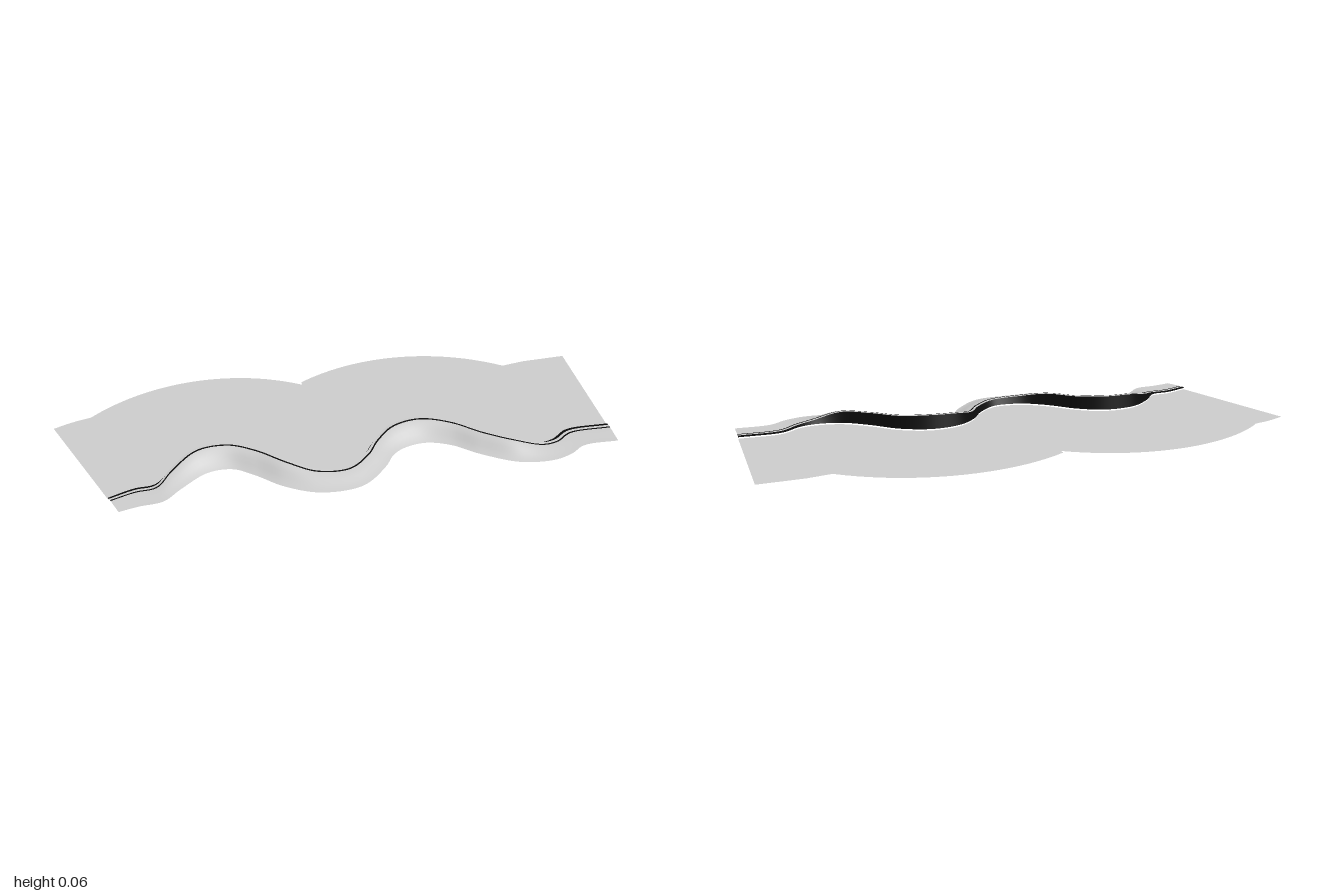
import * as THREE from 'three';

const FLOOR = 0.007; // height of the bank's lower edge above the plate
const STEPS = 200;

// stations along the bank: crest x, crest z, crest height, toe x, toe z
const stations = [
  [-1, -0.134, 0.01, -1, -0.043], [-0.9, -0.128, 0.01, -0.93, -0.03],
  [-0.826, -0.107, 0.012, -0.842, -0.005], [-0.746, -0.144, 0.03, -0.757, -0.032],
  [-0.634, -0.168, 0.056, -0.634, -0.059], [-0.516, -0.128, 0.06, -0.548, -0.027],
  [-0.436, -0.043, 0.056, -0.495, 0.053], [-0.372, 0.08, 0.052, -0.44, 0.166],
  [-0.302, 0.166, 0.036, -0.345, 0.273], [-0.2, 0.214, 0.03, -0.2, 0.326],
  [-0.1, 0.187, 0.03, -0.067, 0.283], [-0.024, 0.139, 0.034, 0.003, 0.24],
  [0.067, 0.115, 0.052, 0.067, 0.23], [0.18, 0.144, 0.06, 0.147, 0.251],
  [0.275, 0.23, 0.056, 0.217, 0.316], [0.34, 0.348, 0.053, 0.275, 0.422],
  [0.41, 0.444, 0.048, 0.37, 0.545], [0.5, 0.497, 0.02, 0.484, 0.607],
  [0.564, 0.508, 0.012, 0.564, 0.615], [0.65, 0.492, 0.01, 0.64, 0.604],
  [0.808, 0.554, 0.01, 0.767, 0.655],
];
const crest = new THREE.CatmullRomCurve3(stations.map(([x, z, h]) => new THREE.Vector3(x, h, z)));
const toe = new THREE.CatmullRomCurve3(stations.map((s) => new THREE.Vector3(s[3], FLOOR, s[4])));

// Sweep a section of [share of the way from crest to toe, share of the height]
function sweep(section) {
  const pos = [], index = [], n = section.length;
  for (let i = 0; i <= STEPS; i++) {
    const a = crest.getPoint(i / STEPS), b = toe.getPoint(i / STEPS);
    for (const [u, v] of section) {
      const p = a.clone().lerp(b, u);
      pos.push(p.x, FLOOR + (a.y - FLOOR) * v, p.z);
    }
  }
  for (let i = 0; i < STEPS; i++) {
    for (let j = 0; j < n - 1; j++) {
      const k = i * n + j;
      index.push(k, k + 1, k + n, k + 1, k + n + 1, k + n);
    }
  }
  const g = new THREE.BufferGeometry();
  g.setAttribute('position', new THREE.Float32BufferAttribute(pos, 3));
  g.setIndex(index);
  g.computeVertexNormals();
  return g;
}

// Flat plate: scalloped back edge, wavy front edge following the crest
function plateGeometry() {
  const pts = [[-1, -0.647], [-0.945, -0.647], [-0.9, -0.643]];
  const arc = (cx, cz, r, x0, x1) => {
    for (let i = 0; i <= 32; i++) {
      const x = x0 + ((x1 - x0) * i) / 32;
      pts.push([x, cz - Math.sqrt(r * r - (x - cx) ** 2)]);
    }
  };
  arc(-0.63, 0.055, 0.723, -0.85, -0.035);
  arc(0.07, 0.4, 0.78, -0.03, 0.74);
  pts.push([0.83, 0.022], [1, 0.087]);
  for (let i = STEPS; i >= 0; i--) {
    const p = crest.getPoint(i / STEPS);
    pts.push([p.x, p.z]);
  }
  const shape = new THREE.Shape(pts.map(([x, z]) => new THREE.Vector2(x, -z)));
  return new THREE.ShapeGeometry(shape).rotateX(-Math.PI / 2);
}

export function createModel() {
  const group = new THREE.Group();
  const gray = new THREE.MeshStandardMaterial({ color: 0xcccccc, side: THREE.DoubleSide });
  gray.name = 'light gray';
  const black = new THREE.MeshStandardMaterial({ color: 0x0a0a0a, side: THREE.DoubleSide });
  black.name = 'black';

  const add = (name, geometry, material) => {
    const mesh = new THREE.Mesh(geometry, material);
    mesh.name = name;
    group.add(mesh);
  };

  add('basePlate', plateGeometry(), gray);
  // Bank, from the dark rear wall over the crest to the toe
  add('rearWall', sweep([[-0.03, 0], [0.09, 1]]), black);
  add('crestStrip', sweep([[0.09, 1], [0.19, 1]]), gray);
  add('crestLine', sweep([[0.19, 1], [0.25, 0.98]]), black);
  add('frontSlope', sweep([[0.25, 0.98], [0.4, 0.86], [0.55, 0.62], [0.7, 0.36], [0.85, 0.13], [1, 0]]), gray);
  return group;
}
